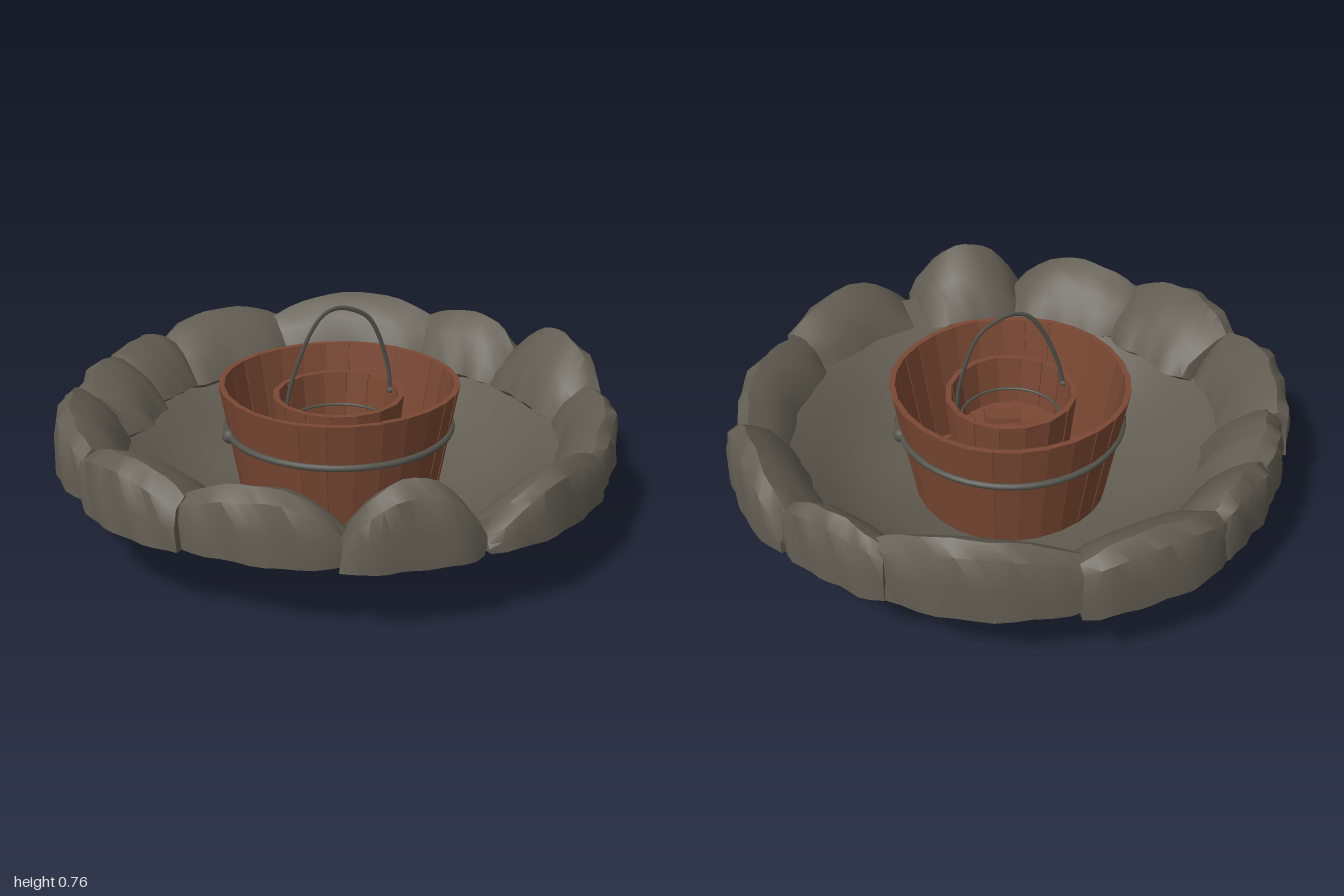
import * as THREE from 'three';
import { toCreasedNormals } from 'three/addons/utils/BufferGeometryUtils.js';

const mat = (name, color, side = THREE.FrontSide) => {
  const m = new THREE.MeshStandardMaterial({ color, side });
  m.name = name;
  return m;
};

export function createModel() {
  const group = new THREE.Group();
  const stone = mat('stone', 0x625d52, THREE.DoubleSide);
  const wood = mat('wood', 0x7a4833);
  const iron = mat('iron', 0x53534c);

  const add = (name, geo, material, parent = group) => {
    const mesh = new THREE.Mesh(geo, material);
    mesh.name = name;
    parent.add(mesh);
    return mesh;
  };
  const section = (name) => {
    const g = new THREE.Group();
    g.name = name;
    group.add(g);
    return g;
  };
  const wobble = (a, b, c) => Math.sin(a * 3 + b * 17) * 0.5 + Math.sin(a * 7 + b * 5 + c * 23) * 0.5;

  // Shallow stone basin, open in the middle for the bucket
  const profile = [
    [0.325, 0.045], [0.325, 0.028], [0.36, 0.028], [0.47, 0.055], [0.58, 0.1], [0.68, 0.165], [0.77, 0.235],
    [0.84, 0.275], [0.91, 0.31], [0.9, 0.325], [0.83, 0.295], [0.76, 0.255], [0.67, 0.185], [0.57, 0.12], [0.46, 0.074], [0.325, 0.045],
  ].map(([r, y]) => new THREE.Vector2(r, y));
  const basin = new THREE.LatheGeometry(profile, 72);
  const bp = basin.attributes.position;
  for (let i = 0; i < bp.count; i++) {
    const x = bp.getX(i), y = bp.getY(i), z = bp.getZ(i);
    const r = Math.hypot(x, z);
    if (r > 0.4) bp.setY(i, y + 0.007 * wobble(Math.atan2(z, x), Math.round(r * 10) / 10, 0));
  }
  add('basin', toCreasedNormals(basin, 0.6), stone);

  // Rim boulders, hollow below: start and end angle, inner and outer radius,
  // top height, place of the peak, share of the height left at the start and end
  const boulders = [
    [177, 211, 0.74, 0.99, 0.48, 0.6, 0.75, 0.8], [209, 232, 0.68, 0.96, 0.48, 0.5, 0.75, 0.75],
    [229, 251, 0.73, 0.97, 0.48, 0.5, 0.75, 0.75], [248, 281, 0.71, 0.99, 0.5, 0.55, 0.7, 0.75],
    [279, 322, 0.74, 0.96, 0.53, 0.5, 0.7, 0.7], [318, 346, 0.76, 0.97, 0.5, 0.5, 0.75, 0.5],
    [343, 375, 0.75, 1.0, 0.53, 0.53, 0.35, 0.5], [13, 55, 0.77, 0.97, 0.435, 0.5, 0.75, 0.65],
    [53, 88, 0.77, 0.99, 0.46, 0.45, 0.65, 0.2], [89, 116, 0.72, 0.99, 0.525, 0.5, 0.25, 0.35],
    [115, 150, 0.70, 0.96, 0.485, 0.45, 0.45, 0.6], [147, 177, 0.67, 0.995, 0.485, 0.45, 0.7, 0.7],
  ];
  const boulder = ([a0, a1, rin, rout, top, peak, hStart, hEnd], seed) => {
    const N = 12, M = 9, base = 0.25, pos = [], index = [];
    for (let i = 0; i <= N; i++) {
      const t = i / N;
      const d = Math.abs(t - peak) / (t < peak ? peak : 1 - peak);
      const h = (top - base) * (1 - (1 - (t < peak ? hStart : hEnd)) * d ** 2.2);
      const end = Math.abs(2 * t - 1) ** 5;
      const ri = rin + 0.05 * end, ro = rout - 0.02 * end, w = ro - ri;
      const loop = [
        [ri + 0.05, 0], [ri, 0.15], [ri + 0.15 * w, 0.48], [ri + 0.34 * w, 0.72], [ri + 0.56 * w, 0.9],
        [ri + 0.76 * w, 1], [ri + 0.94 * w, 0.84], [ro, 0.45], [ro, 0],
      ];
      loop.forEach(([r, y], j) => {
        const n = 0.01 * wobble(t * 3, seed, j * 0.1);
        const skew = 0.015 * wobble(j * 0.3, seed, 1) * (1 - 0.5 * end);
        const a = THREE.MathUtils.degToRad(a0 + (a1 - a0) * t) + skew;
        const rr = Math.min(r + n, 1);
        pos.push(rr * Math.cos(a), base + y * h + (y > 0.3 && y < 1 ? n : 0), rr * Math.sin(a));
      });
    }
    for (let i = 0; i < N; i++) {
      for (let j = 0; j < M - 1; j++) {
        const p = i * M + j, q = p + M;
        index.push(p, q, p + 1, p + 1, q, q + 1);
      }
    }
    // End caps
    for (let j = 1; j < M - 1; j++) {
      index.push(0, j, j + 1, N * M, N * M + j + 1, N * M + j);
    }
    const geo = new THREE.BufferGeometry();
    geo.setAttribute('position', new THREE.Float32BufferAttribute(pos, 3));
    geo.setIndex(index);
    return toCreasedNormals(geo, 0.75);
  };
  const rim = section('rimBoulders');
  boulders.forEach((b, i) => add('boulder', boulder(b, i + 1), stone, rim));

  // Ring of flared staves, each a box bent around the axis
  const staves = (name, count, rBottom, rTop, y0, y1, thick) => {
    const ring = section(name);
    for (let i = 0; i < count; i++) {
      const geo = new THREE.BoxGeometry(1, 1, 1);
      const p = geo.attributes.position;
      const jitter = 0.003 * Math.sin(i * 5.3);
      const drop = 0.004 * Math.abs(Math.sin(i * 3.1));
      for (let v = 0; v < p.count; v++) {
        const h = p.getY(v) + 0.5;
        const a = ((i + p.getX(v) * 0.99) / count) * Math.PI * 2;
        const r = rBottom + (rTop - rBottom) * h + (p.getZ(v) - 0.5) * thick + jitter;
        p.setXYZ(v, r * Math.sin(a), y0 + (y1 - y0) * h - drop * h, r * Math.cos(a));
      }
      geo.computeVertexNormals();
      add('stave', geo, wood, ring);
    }
    return ring;
  };
  const outer = staves('outerBucket', 28, 0.335, 0.422, 0, 0.49, 0.02);
  const inner = staves('innerBucket', 16, 0.19, 0.232, 0.05, 0.445, 0.02);

  // Round floor: a disc with parallel planks on top
  const floor = (radius, y, count, parent) => {
    add('floorDisc', new THREE.CylinderGeometry(radius, radius, 0.016, 40), wood, parent).position.y = y;
    const w = (2 * radius) / count;
    for (let i = 0; i < count; i++) {
      const x = -radius + (i + 0.5) * w;
      const len = 2 * Math.sqrt(radius ** 2 - (Math.abs(x) + w / 2 - 0.002) ** 2);
      add('floorPlank', new THREE.BoxGeometry(w * 0.97, 0.012, len), wood, parent).position.set(x, y + 0.01, 0);
    }
  };
  floor(0.322, 0.035, 8, outer);
  floor(0.182, 0.26, 4, inner);

  // Stone segments under the bucket floor
  for (const s of [0, 1]) {
    const shape = new THREE.Shape();
    shape.absarc(0, 0, 0.305, -0.9, 0.9, false);
    const seg = add('floorSegment', new THREE.ExtrudeGeometry(shape, { depth: 0.006, bevelEnabled: false }), stone, outer);
    seg.rotation.set(Math.PI / 2, 0, s * Math.PI + 0.11);
    seg.position.y = 0.027;
  }

  // Iron hoops
  const hoop = (name, r, y, tube) => {
    const h = add(name, new THREE.TorusGeometry(r, tube, 8, 48), iron);
    h.rotation.x = Math.PI / 2;
    h.position.y = y;
  };
  hoop('outerHoop', 0.398, 0.33, 0.012);
  hoop('baseHoop', 0.338, 0.024, 0.008);
  hoop('lowerHoop', 0.316, 0.07, 0.006);
  hoop('innerHoop', 0.178, 0.33, 0.005);

  // Side knobs and handle ears
  for (const s of [-1, 1]) {
    add('hoopKnob', new THREE.SphereGeometry(0.026, 12, 8), iron).position.set(s * 0.395, 0.33, s * 0.06);
    add('handleEar', new THREE.SphereGeometry(0.012, 10, 8), iron).position.set(s * 0.205, 0.42, 0);
  }

  // Arched handle, a narrow strap
  const arch = [[-0.205, 0.42], [-0.18, 0.52], [-0.11, 0.68], [-0.06, 0.74], [-0.01, 0.757], [0.05, 0.745], [0.12, 0.7], [0.19, 0.53], [0.205, 0.42]];
  const curve = new THREE.CatmullRomCurve3(arch.map(([x, y]) => new THREE.Vector3(x, y, 0)));
  add('handle', new THREE.TubeGeometry(curve, 40, 0.008, 8), iron).scale.z = 0.5;

  // Square wooden frame around the inner bucket
  const frame = section('frame');
  for (const s of [-1, 1]) {
    add('frameSide', new THREE.BoxGeometry(0.025, 0.03, 0.4), wood, frame).position.set(s * 0.24, 0.16, 0);
    add('frameCross', new THREE.BoxGeometry(0.48, 0.02, 0.02), wood, frame).position.set(0, 0.16, s * 0.185);
    for (const t of [-1, 1]) {
      add('frameLeg', new THREE.BoxGeometry(0.025, 0.12, 0.025), wood, frame).position.set(s * 0.235, 0.1, t * 0.185);
    }
  }

  // Loose wood scraps inside the inner bucket
  [[-0.06, -0.05, 0.1], [0.08, -0.02, 1.4], [0.0, 0.07, -0.3]].forEach(([x, z, turn]) => {
    const scrap = add('woodScrap', new THREE.BoxGeometry(0.13, 0.02, 0.08), wood, inner);
    scrap.position.set(x, 0.29, z);
    scrap.rotation.set(0.12, turn, 0.1);
  });

  return group;
}
